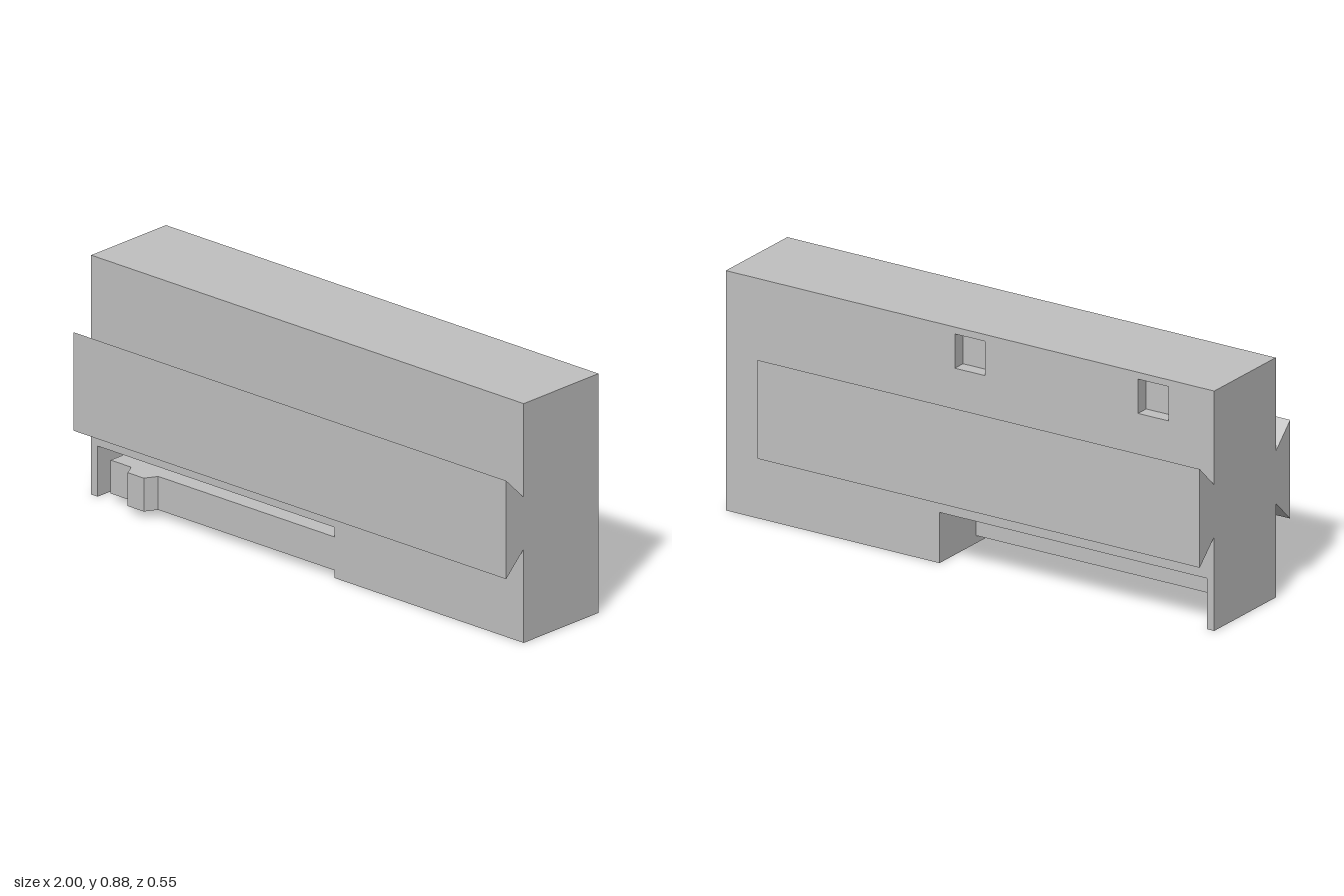
import * as THREE from 'three';

const HALF_DEPTH = 0.187, POCKET_DEPTH = 0.05;

const polygon = (points) => new THREE.Shape(points.map(([x, y]) => new THREE.Vector2(x, y)));
const extrude = (shape, depth) => new THREE.ExtrudeGeometry(shape, { depth, bevelEnabled: false });

// Front outline of the housing, with the latch opening cut from its lower edge
const housingShape = () => polygon([
  [-1, 0], [-0.97, 0], [-0.97, 0.185], [0.125, 0.185], [0.125, 0], [1, 0], [1, 0.875], [-1, 0.875],
]);

// Dovetail rail along x; side is +1 for the front and -1 for the back
function railGeometry(side, xStart, xEnd) {
  const inner = side * HALF_DEPTH, outer = side * 0.275;
  const section = polygon([[inner, 0.343], [outer, 0.259], [outer, 0.619], [inner, 0.533]]);
  return extrude(section, xEnd - xStart).rotateY(-Math.PI / 2).translate(xEnd, 0, 0);
}

export function createModel() {
  const model = new THREE.Group();
  const grey = new THREE.MeshStandardMaterial({ color: 0xc0c0c0 });
  grey.name = 'grey';
  const add = (name, geometry) => {
    const mesh = new THREE.Mesh(geometry, grey);
    mesh.name = name;
    model.add(mesh);
  };

  // Solid core; its back face forms the pocket floors
  add('housingCore', extrude(housingShape(), 2 * HALF_DEPTH - POCKET_DEPTH)
    .translate(0, 0, -HALF_DEPTH + POCKET_DEPTH));

  // Back layer with two square pockets
  const backShape = housingShape();
  for (const x of [0, -0.75]) {
    backShape.holes.push(polygon([
      [x - 0.062, 0.725], [x - 0.062, 0.85], [x + 0.062, 0.85], [x + 0.062, 0.725],
    ]));
  }
  add('housingBack', extrude(backShape, POCKET_DEPTH).translate(0, 0, -HALF_DEPTH));

  // Dovetail rails; the back one stops short of the left end
  add('frontRail', railGeometry(1, -1, 1));
  add('backRail', railGeometry(-1, -1, 0.81));

  // Spring latch with a raised catch near its free end
  const latchShape = polygon([
    [-0.91, 0.035], [0.125, 0.035], [0.125, HALF_DEPTH], [-0.69, HALF_DEPTH],
    [-0.715, 0.232], [-0.79, 0.232], [-0.815, HALF_DEPTH], [-0.91, HALF_DEPTH],
  ]);
  add('latch', extrude(latchShape, 0.122).rotateX(Math.PI / 2).translate(0, 0.15, 0));

  return model;
}
